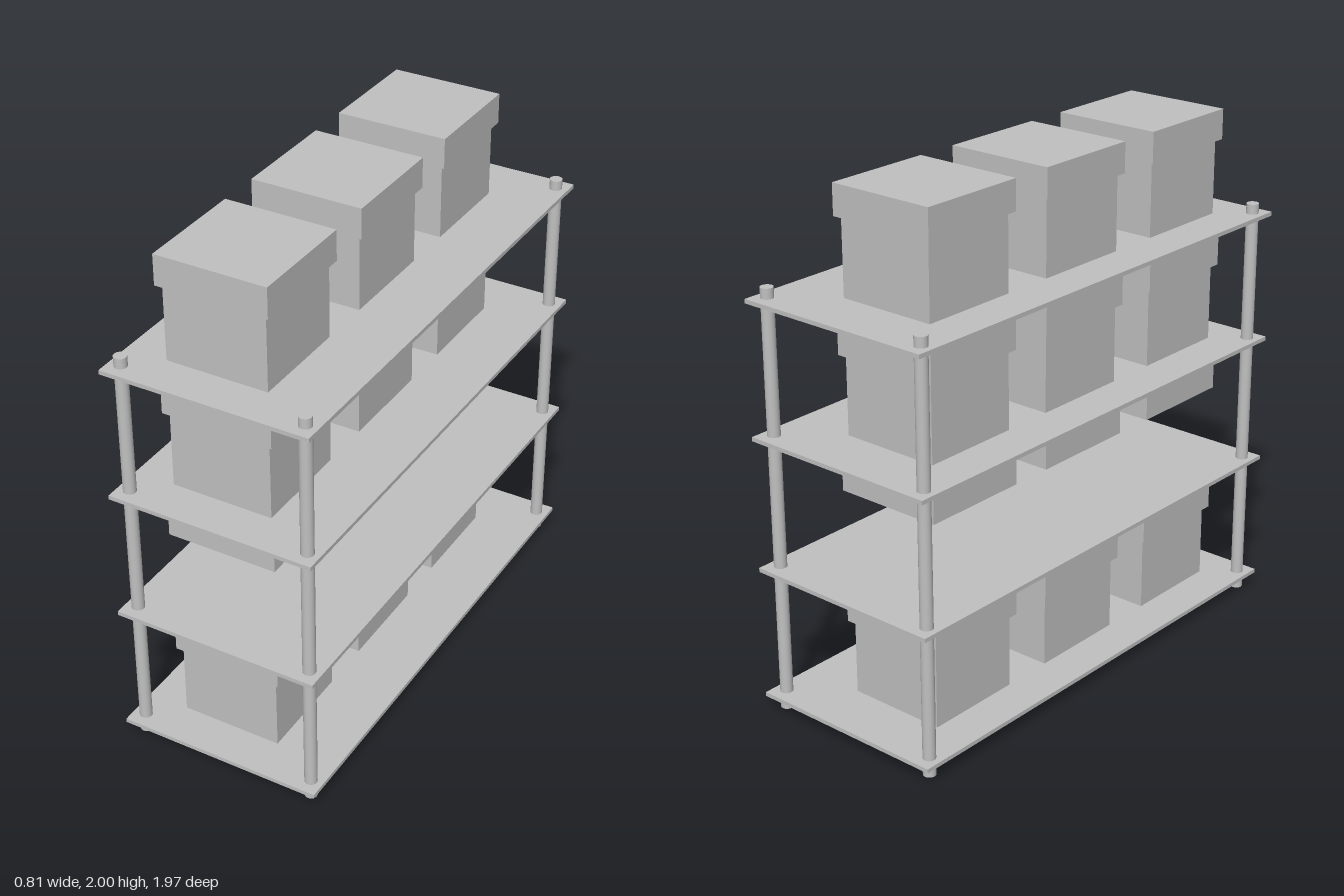
import * as THREE from 'three';

export function createModel() {
  const model = new THREE.Group();
  model.name = 'shelvingUnit';
  const grey = new THREE.MeshStandardMaterial({ color: 0xc0c0c0 });
  grey.name = 'grey';

  const add = (name, geometry, x, y, z) => {
    const mesh = new THREE.Mesh(geometry, grey);
    mesh.name = name;
    mesh.position.set(x, y, z);
    model.add(mesh);
  };

  // Four thin shelves
  const shelf = new THREE.BoxGeometry(0.805, 0.016, 1.974);
  for (let i = 0; i < 4; i++) add('shelf', shelf, 0, 0.058 + i * 0.509, 0);

  // Round corner posts, reaching past the top and bottom shelves
  const post = new THREE.CylinderGeometry(0.024, 0.024, 1.632, 32);
  for (const x of [-0.355, 0.355])
    for (const z of [-0.927, 0.927]) add('post', post, x, 0.816, z);

  // Rows of lidded boxes; the second row has lids only
  const lidHeight = 0.117;
  const lid = new THREE.BoxGeometry(0.432, lidHeight, 0.432);
  const rows = [
    { top: 0.475, base: 0.066 },
    { top: 0.994 },
    { top: 1.504, base: 1.087 },
    { top: 2, base: 1.593 },
  ];
  for (const { top, base } of rows) {
    for (const z of [0.627, 0.03, -0.566]) {
      add('boxLid', lid, -0.045, top - lidHeight / 2, z);
      if (base === undefined) continue;
      const height = top - lidHeight - base;
      add('boxBody', new THREE.BoxGeometry(0.395, height, 0.395), -0.045, base + height / 2, z);
    }
  }
  return model;
}
